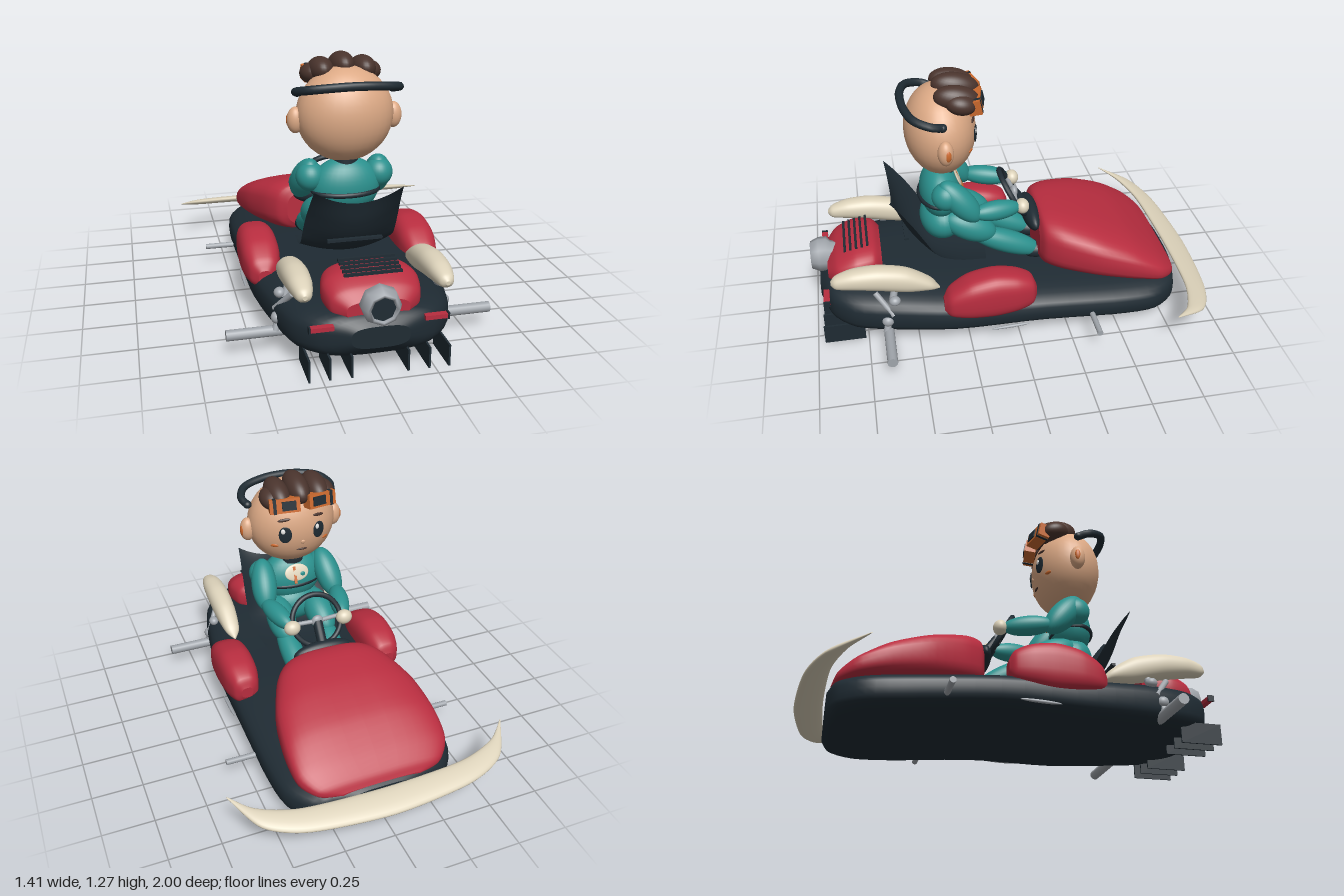
import * as THREE from 'three';
import { ParametricGeometry } from 'three/addons/geometries/ParametricGeometry.js';

const V = (x, y, z) => new THREE.Vector3(x, y, z);

// Smooth body along z from sections [z, halfWidth, yBottom, yTop, xCentre]; e sets how boxy it is
function loft(sections, e = 2, steps = 32, sides = 40) {
  const a = new THREE.CatmullRomCurve3(sections.map(s => V(s[0], s[1], s[4] || 0)), false, 'catmullrom', 0.4);
  const b = new THREE.CatmullRomCurve3(sections.map(s => V(s[2], s[3], 0)), false, 'catmullrom', 0.4);
  const pos = [], idx = [];
  const pw = c => Math.sign(c) * Math.pow(Math.abs(c), 2 / e);
  const ring = t => {
    const p = a.getPoint(t), q = b.getPoint(t);
    for (let i = 0; i < sides; i++) {
      const g = (i / sides) * Math.PI * 2;
      pos.push(p.z + p.y * pw(Math.cos(g)), (q.x + q.y) / 2 + ((q.y - q.x) / 2) * pw(Math.sin(g)), p.x);
    }
    return V(p.z, (q.x + q.y) / 2, p.x);
  };
  for (let j = 0; j <= steps; j++) ring(j / steps);
  for (let j = 0; j < steps; j++) for (let i = 0; i < sides; i++) {
    const k = (i + 1) % sides, r = j * sides, s = r + sides;
    idx.push(r + i, r + k, s + k, r + i, s + k, s + i);
  }
  for (const t of [0, 1]) {
    const o = pos.length / 3, c = ring(t);
    pos.push(c.x, c.y, c.z);
    for (let i = 0; i < sides; i++) {
      const k = (i + 1) % sides;
      t ? idx.push(o + sides, o + i, o + k) : idx.push(o + sides, o + k, o + i);
    }
  }
  const g = new THREE.BufferGeometry();
  g.setAttribute('position', new THREE.Float32BufferAttribute(pos, 3));
  g.setIndex(idx);
  g.computeVertexNormals();
  return g;
}

export function createModel() {
  const root = new THREE.Group();
  root.name = 'kartWithDriver';
  const mat = (name, color, side = THREE.FrontSide) => {
    const m = new THREE.MeshStandardMaterial({ color, side });
    m.name = name;
    return m;
  };
  const navy = mat('navy', 0x1f2b33, THREE.DoubleSide), red = mat('red', 0xb82d3f), cream = mat('cream', 0xdcd2ba);
  const gray = mat('gray', 0xa0a5ab), skin = mat('skin', 0xdca985), teal = mat('teal', 0x2b918e);
  const brown = mat('brown', 0x4a342d), orange = mat('orange', 0xcc6a2e), white = mat('white', 0xf2f2f0);

  const add = (name, geo, m, x = 0, y = 0, z = 0) => {
    const o = new THREE.Mesh(geo, m);
    o.name = name;
    o.position.set(x, y, z);
    root.add(o);
    return o;
  };
  const box = (name, m, w, h, d, x, y, z) => add(name, new THREE.BoxGeometry(w, h, d), m, x, y, z);
  const ball = (name, m, rx, ry, rz, x, y, z) => {
    const o = add(name, new THREE.SphereGeometry(1, 32, 20), m, x, y, z);
    o.scale.set(rx, ry, rz);
    return o;
  };
  const align = (o, a, b) => {
    o.position.copy(a).add(b).multiplyScalar(0.5);
    o.quaternion.setFromUnitVectors(V(0, 1, 0), b.clone().sub(a).normalize());
    return o;
  };
  const limb = (name, m, a, b, r) => align(ball(name, m, r, a.distanceTo(b) / 2, r, 0, 0, 0), a, b);
  const rod = (name, m, a, b, r) => align(add(name, new THREE.CylinderGeometry(r, r, a.distanceTo(b), 16), m), a, b);
  const tube = (name, m, pts, r) =>
    add(name, new THREE.TubeGeometry(new THREE.CatmullRomCurve3(pts.map(p => V(...p))), 32, r, 10), m);

  // Hull and bodywork
  add('hull', loft([[-0.86, 0.2, 0.03, 0.19], [-0.82, 0.34, 0.01, 0.21], [-0.7, 0.43, 0.005, 0.22], [-0.5, 0.455, 0.015, 0.235],
    [-0.1, 0.46, 0.045, 0.265], [0.3, 0.45, 0.035, 0.28], [0.6, 0.41, 0.045, 0.3], [0.8, 0.36, 0.055, 0.3],
    [0.91, 0.27, 0.085, 0.285], [0.965, 0.13, 0.14, 0.24]], 3), navy);
  add('hood', loft([[-0.845, 0.2, 0.18, 0.2], [-0.82, 0.31, 0.17, 0.245], [-0.74, 0.38, 0.17, 0.315], [-0.6, 0.39, 0.18, 0.405],
    [-0.42, 0.365, 0.2, 0.475], [-0.25, 0.3, 0.22, 0.515], [-0.17, 0.245, 0.24, 0.51], [-0.145, 0.19, 0.27, 0.47]], 3), red);
  add('rearCover', loft([[0.65, 0.16, 0.25, 0.4], [0.69, 0.2, 0.24, 0.43], [0.78, 0.22, 0.23, 0.43], [0.87, 0.2, 0.23, 0.39],
    [0.92, 0.14, 0.25, 0.34]], 2.8), red);
  for (let i = 0; i < 5; i++) box('ventSlat', navy, 0.26, 0.012, 0.012, 0, 0.447 - i * 0.006, 0.715 + i * 0.028);

  // Curved front bumper, tilted down toward its leading edge
  const bumper = loft([[-0.705, 0.004, 0.143, 0.147, 0.71], [-0.6, 0.045, 0.13, 0.16, 0.84], [-0.4, 0.056, 0.127, 0.165, 0.91],
    [0, 0.065, 0.125, 0.165, 0.935], [0.4, 0.056, 0.127, 0.165, 0.91], [0.6, 0.045, 0.13, 0.16, 0.84],
    [0.705, 0.004, 0.143, 0.147, 0.71]], 2.2, 48, 20);
  bumper.rotateY(Math.PI / 2);
  const bp = bumper.attributes.position;
  for (let i = 0; i < bp.count; i++) bp.setY(i, bp.getY(i) + 0.33 * (bp.getZ(i) + 1));
  bumper.computeVertexNormals();
  add('frontBumper', bumper, cream);

  // Exhaust nozzle
  const nozzle = add('exhaustNozzle', new THREE.LatheGeometry([[0.05, -0.09], [0.065, -0.02], [0.088, 0], [0.088, 0.04],
    [0.07, 0.08], [0.058, 0.08], [0.05, 0.03]].map(p => new THREE.Vector2(...p)), 8), mat('gray', 0xa0a5ab, THREE.DoubleSide), 0, 0.33, 0.92);
  nozzle.material = gray;
  gray.side = THREE.DoubleSide;
  nozzle.rotation.x = Math.PI / 2;
  add('exhaustOpening', new THREE.CircleGeometry(0.062, 8), navy, 0, 0.33, 0.985);

  // Seat shell with raised upper corners and forward wings
  const path = new THREE.CatmullRomCurve3([V(0, 0.65, 0.58), V(0, 0.54, 0.545), V(0, 0.44, 0.49), V(0, 0.36, 0.41), V(0, 0.32, 0.27), V(0, 0.31, 0.12)]);
  add('seat', new ParametricGeometry((u, v, out) => {
    const p = path.getPoint(v), s = u * 2 - 1, k = s * s;
    out.set(s * (0.205 + 0.02 * Math.sin(v * Math.PI)), p.y + k * (0.07 * (1 - v) + 0.03 * v), p.z + k * (0.015 - 0.12 * Math.sin(v * Math.PI) * (1 - v)));
  }, 20, 24), navy);
  box('seatSlot', navy, 0.26, 0.012, 0.02, 0, 0.455, 0.52);

  // Steering
  const wheel = add('steeringWheel', new THREE.TorusGeometry(0.13, 0.014, 10, 40), navy, 0, 0.59, -0.035);
  wheel.rotation.x = 0.5;
  const hub = V(0, 0.59, -0.045);
  for (const p of [V(0.12, 0.59, -0.035), V(-0.12, 0.59, -0.035), V(0, 0.48, -0.095)]) rod('wheelSpoke', gray, hub, p, 0.011);
  ball('wheelHub', gray, 0.032, 0.032, 0.02, 0, 0.59, -0.045);
  rod('steeringColumn', navy, hub, V(0, 0.43, -0.16), 0.025);
  ball('columnBoot', navy, 0.16, 0.06, 0.045, 0, 0.46, -0.13);

  // Driver torso and head
  ball('torso', teal, 0.165, 0.14, 0.1, 0, 0.655, 0.335);
  ball('hips', teal, 0.155, 0.11, 0.11, 0, 0.5, 0.33);
  const belt = add('belt', new THREE.TorusGeometry(0.13, 0.012, 8, 32), navy, 0, 0.635, 0.34);
  belt.rotation.x = Math.PI / 2;
  belt.scale.set(1.18, 0.76, 1);
  add('collar', new THREE.CylinderGeometry(0.062, 0.065, 0.04, 24), navy, 0, 0.78, 0.325);
  ball('chestBadge', cream, 0.065, 0.045, 0.008, 0, 0.715, 0.242).rotation.x = 0.4;
  box('badgeStripe', orange, 0.014, 0.09, 0.008, 0.012, 0.705, 0.234).rotation.x = 0.4;
  ball('badgeMark', teal, 0.014, 0.014, 0.006, -0.03, 0.705, 0.233);
  const C = V(0, 0.998, 0.32), R = V(0.228, 0.223, 0.173);
  ball('head', skin, R.x, R.y, R.z, C.x, C.y, C.z);

  // Small flat features laid onto the face
  const face = (name, m, w, h, x, y, lift = 0, roll = 0) => {
    const dx = x / R.x, dy = (y - C.y) / R.y, dz = -Math.sqrt(1 - dx * dx - dy * dy);
    const n = V(dx / R.x, dy / R.y, dz / R.z).normalize();
    const o = ball(name, m, w, h, 0.005, x + n.x * lift, y + n.y * lift, C.z + dz * R.z + n.z * lift);
    o.rotation.set(-Math.asin(n.y), Math.atan2(n.x, n.z), roll, 'YXZ');
  };
  face('nose', skin, 0.012, 0.011, 0, 0.95, 0.007);
  face('mouth', brown, 0.028, 0.006, 0, 0.898, 0.001);
  for (const s of [-1, 1]) {
    face('eye', navy, 0.033, 0.045, s * 0.088, 0.995, 0.001);
    face('eyeHighlight', white, 0.011, 0.014, s * 0.088 + 0.01, 1.015, 0.005);
    face('eyebrow', brown, 0.032, 0.008, s * 0.09, 1.072, 0.002, s * 0.15);
    face('cheek', orange, 0.02, 0.009, s * 0.135, 0.93, 0);
    ball('ear', skin, 0.04, 0.062, 0.038, s * 0.232, 0.98, 0.32);
    ball('innerEar', orange, 0.012, 0.03, 0.016, s * 0.262, 0.98, 0.313);
  }

  // Hair, goggles and band
  for (const i of [-2, -1, 0, 1, 2]) {
    const out = Math.abs(i);
    const lobe = ball('hairLobe', brown, 0.06, [0.065, 0.063, 0.05][out], [0.115, 0.11, 0.075][out],
      i * (out > 1 ? 0.066 : 0.1), [1.208, 1.19, 1.175][out], [0.24, 0.245, 0.23][out]);
    lobe.rotation.x = -0.2;
  }
  for (const s of [-1, 1]) {
    const g = new THREE.Group();
    g.name = 'goggle';
    g.position.set(s * 0.092, 1.165, 0.157);
    g.rotation.set(0.2, s * -0.2, 0);
    g.add(box('goggleFrame', orange, 0.15, 0.07, 0.06, 0, 0, 0), box('goggleLens', navy, 0.07, 0.045, 0.008, s * -0.02, 0, -0.032),
      box('goggleClip', navy, 0.016, 0.074, 0.064, s * 0.05, 0, 0));
    root.add(g);
  }
  tube('headBand', navy, [[-0.225, 1.11, 0.33], [-0.24, 1.125, 0.38], [-0.2, 1.145, 0.455], [-0.1, 1.158, 0.492], [0, 1.162, 0.5],
    [0.1, 1.158, 0.492], [0.2, 1.145, 0.455], [0.24, 1.125, 0.38], [0.225, 1.11, 0.33]], 0.02);
  for (const s of [-1, 1]) ball('bandTip', navy, 0.022, 0.02, 0.022, s * 0.225, 1.11, 0.33);

  // Mirrored parts
  const pod = x => loft([[-0.08, 0.03, 0.24, 0.3, x], [-0.055, 0.065, 0.2, 0.35, x], [0.02, 0.088, 0.175, 0.385, x], [0.13, 0.095, 0.16, 0.4, x],
    [0.25, 0.092, 0.165, 0.375, x], [0.34, 0.07, 0.18, 0.32, x], [0.375, 0.03, 0.2, 0.27, x]], 2.8);
  const fender = x => loft([[0.385, 0.005, 0.275, 0.285, x], [0.43, 0.038, 0.28, 0.34, x], [0.54, 0.055, 0.285, 0.41, x],
    [0.68, 0.06, 0.315, 0.44, x], [0.8, 0.053, 0.335, 0.435, x], [0.88, 0.035, 0.345, 0.41, x], [0.905, 0.01, 0.365, 0.385, x]], 2.2);
  for (const s of [-1, 1]) {
    add('sidePod', pod(s * 0.395), red);
    add('rearFender', fender(s * 0.313), cream);
    rod('rearAxle', gray, V(s * 0.33, 0.105, 0.65), V(s * 0.62, 0.105, 0.65), 0.025);
    rod('frontAxle', gray, V(s * 0.4, 0.11, -0.36), V(s * 0.605, 0.11, -0.36), 0.014);
    rod('fenderStrut', gray, V(s * 0.4, 0.11, 0.66), V(s * 0.32, 0.33, 0.6), 0.018);
    rod('fenderBrace', gray, V(s * 0.395, 0.2, 0.62), V(s * 0.33, 0.3, 0.7), 0.014);
    ball('strutJoint', gray, 0.028, 0.028, 0.03, s * 0.39, 0.17, 0.65);
    ball('strutJoint', gray, 0.026, 0.024, 0.028, s * 0.37, 0.27, 0.61);
    limb('sideTrim', gray, V(s * 0.46, 0.095, 0.15), V(s * 0.46, 0.105, -0.04), 0.008);
    box('tailLight', red, 0.1, 0.02, 0.03, s * 0.25, 0.245, 0.935);
    box('lightPost', navy, 0.008, 0.03, 0.03, s * 0.305, 0.245, 0.935);
    for (const x of [0.125, 0.22, 0.31]) box('diffuserFin', navy, 0.009, 0.1, 0.2, s * x, 0.062, 0.865);

    // Arms and legs
    ball('shoulder', teal, 0.068, 0.07, 0.07, s * 0.165, 0.705, 0.32);
    limb('upperArm', teal, V(s * 0.16, 0.78, 0.34), V(s * 0.195, 0.57, 0.165), 0.066);
    limb('forearm', teal, V(s * 0.2, 0.61, 0.2), V(s * 0.14, 0.59, -0.05), 0.05);
    ball('hand', cream, 0.042, 0.038, 0.035, s * 0.14, 0.59, -0.06);
    limb('thigh', teal, V(s * 0.1, 0.545, 0.33), V(s * 0.115, 0.42, 0.07), 0.075);
    limb('shin', teal, V(s * 0.115, 0.45, 0.2), V(s * 0.1, 0.28, -0.17), 0.06);
    ball('boot', navy, 0.05, 0.045, 0.08, s * 0.1, 0.29, -0.15);
  }
  return root;
}
